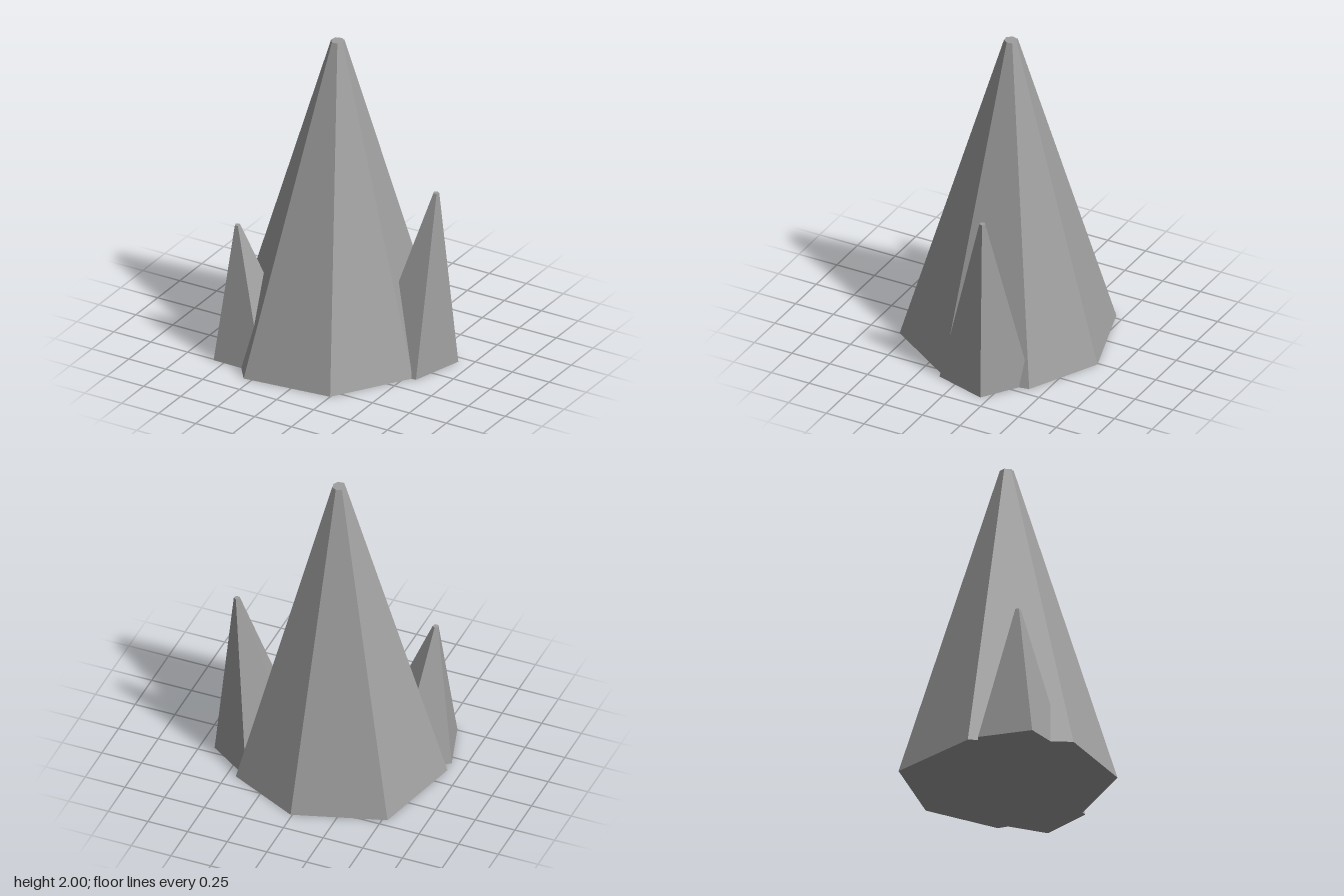
import * as THREE from 'three';

// Tapered prism: a base outline, shrunk to a small flat tip that may lean off centre
function spire(name, base, tip, height, tipScale, material) {
  const n = base.length;
  const cx = base.reduce((s, p) => s + p[0], 0) / n;
  const cz = base.reduce((s, p) => s + p[1], 0) / n;
  const low = base.map(([x, z]) => [x, 0, z]);
  const high = base.map(([x, z]) => [tip[0] + (x - cx) * tipScale, height, tip[1] + (z - cz) * tipScale]);
  const pos = [];
  for (let i = 0; i < n; i++) {
    const j = (i + 1) % n;
    pos.push(...low[i], ...high[i], ...low[j]); // side
    pos.push(...low[j], ...high[i], ...high[j]);
    pos.push(tip[0], height, tip[1], ...high[j], ...high[i]); // tip cap
    pos.push(cx, 0, cz, ...low[i], ...low[j]); // underside
  }
  const geometry = new THREE.BufferGeometry();
  geometry.setAttribute('position', new THREE.Float32BufferAttribute(pos, 3));
  geometry.computeVertexNormals();
  const mesh = new THREE.Mesh(geometry, material);
  mesh.name = name;
  return mesh;
}

// Regular outline around (cx, cz), starting at an angle in degrees
function ring(cx, cz, radius, sides, startDeg) {
  return Array.from({ length: sides }, (_, i) => {
    const a = THREE.MathUtils.degToRad(startDeg + (i * 360) / sides);
    return [cx + radius * Math.cos(a), cz + radius * Math.sin(a)];
  });
}

export function createModel() {
  const group = new THREE.Group();
  group.name = 'rockSpires';
  const stone = new THREE.MeshStandardMaterial({ color: 0x9e9e9e, flatShading: true });
  stone.name = 'stone grey';

  // Uneven seven-sided main spire
  const mainBase = [
    [0.01, -0.62], [0.445, -0.405], [0.545, 0.115], [0.25, 0.56],
    [-0.3, 0.62], [-0.667, 0.125], [-0.53, -0.45],
  ];
  group.add(spire('mainSpire', mainBase, [-0.042, -0.018], 2, 0.064, stone));

  // Two smaller five-sided spires leaning outwards
  group.add(spire('leftSpire', ring(0.395, -0.105, 0.286, 5, -19.6), [0.545, -0.15], 1.1, 0.064, stone));
  group.add(spire('rightSpire', ring(-0.4, 0.286, 0.28, 5, -161), [-0.495, 0.36], 0.84, 0.064, stone));
  return group;
}
